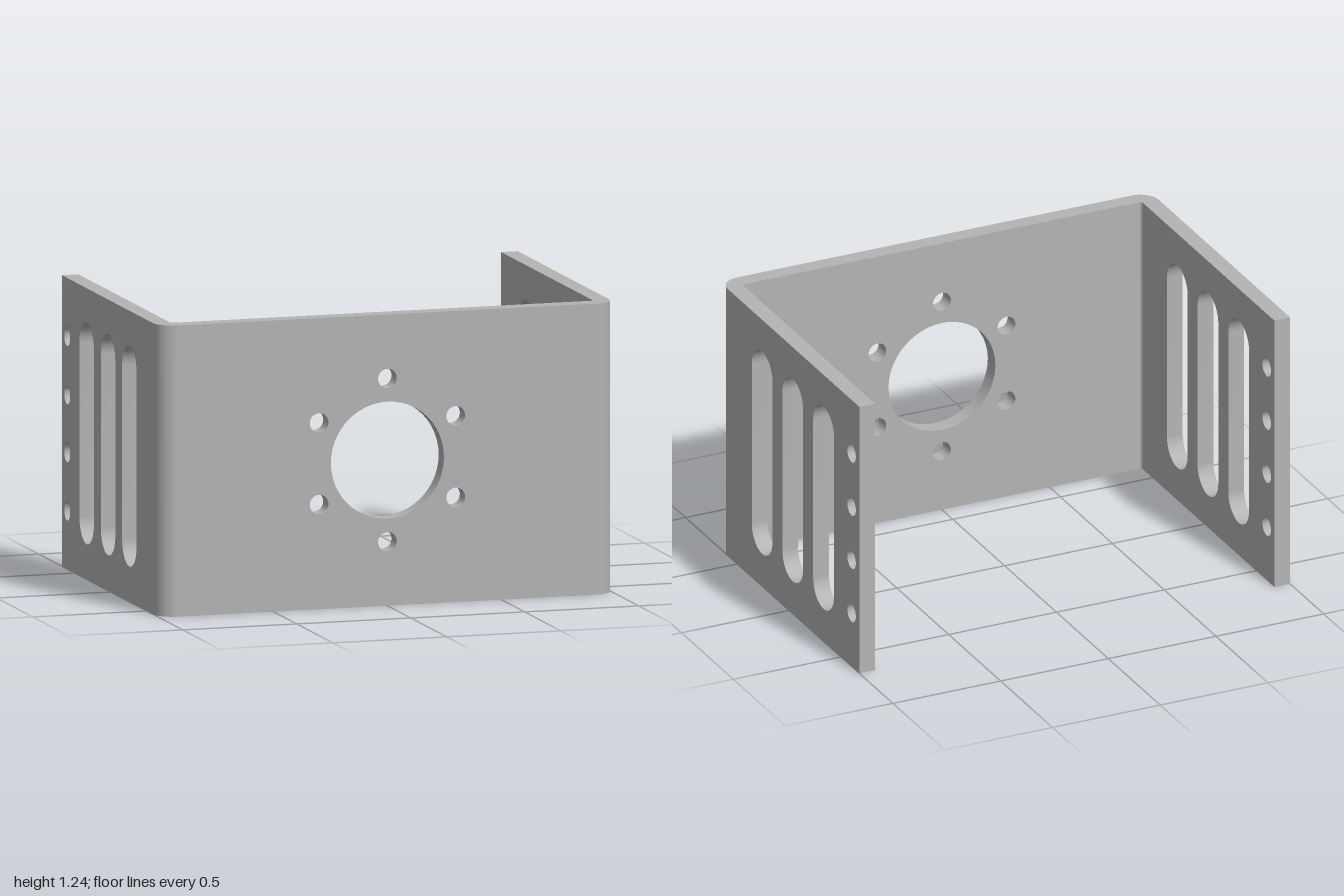
import * as THREE from 'three';
import { toCreasedNormals } from 'three/addons/utils/BufferGeometryUtils.js';

const H = 1.235;         // height
const D = 0.677;         // half depth
const T = 0.073;         // sheet thickness
const R_IN = 0.012;      // bend radii
const R_OUT = R_IN + T;

function rect(x0, x1) {
  return new THREE.Shape([[x0, 0], [x1, 0], [x1, H], [x0, H]].map(p => new THREE.Vector2(...p)));
}

function addHole(shape, x, y, r) {
  const hole = new THREE.Path();
  hole.absarc(x, y, r, 0, Math.PI * 2, true);
  shape.holes.push(hole);
}

function addSlot(shape, x, y0, y1, r) {
  const slot = new THREE.Path();
  slot.absarc(x, y1 - r, r, 0, Math.PI, false);
  slot.absarc(x, y0 + r, r, Math.PI, Math.PI * 2, false);
  slot.closePath();
  shape.holes.push(slot);
}

function extrude(shape, depth) {
  return new THREE.ExtrudeGeometry(shape, { depth, bevelEnabled: false, curveSegments: 24 });
}

export function createModel() {
  const group = new THREE.Group();
  const steel = new THREE.MeshStandardMaterial({ color: 0xb4b4b4 });
  steel.name = 'grey steel';

  const add = (name, geometry) => {
    const mesh = new THREE.Mesh(toCreasedNormals(geometry, 0.6), steel);
    mesh.name = name;
    group.add(mesh);
  };

  // Front plate: central bore with six bolt holes around it
  const front = rect(-1 + R_OUT, 1 - R_OUT);
  addHole(front, 0, H / 2, 0.248);
  for (let i = 0; i < 6; i++) {
    const a = Math.PI / 2 + i * Math.PI / 3;
    addHole(front, 0.346 * Math.cos(a), H / 2 + 0.346 * Math.sin(a), 0.041);
  }
  add('frontPlate', extrude(front, T).translate(0, 0, D - T));

  // Side flanges: three slots and a column of holes (shape x is -z)
  const side = rect(-D + R_OUT, D);
  for (const z of [0.26, -0.035, -0.332]) addSlot(side, -z, 0.15, 1.088, 0.1);
  for (let i = 0; i < 4; i++) addHole(side, 0.602, 0.248 + i * 0.2465, 0.041);
  for (const [name, x] of [['leftFlange', 1 - T], ['rightFlange', -1]]) {
    add(name, extrude(side, T).rotateY(Math.PI / 2).translate(x, 0, 0));
  }

  // Rounded bends joining the flanges to the front plate
  for (const [name, s, a] of [['leftBend', 1, -Math.PI / 2], ['rightBend', -1, Math.PI]]) {
    const cx = s * (1 - R_OUT), cy = -(D - R_OUT), b = a + Math.PI / 2;
    const bend = new THREE.Shape();
    bend.absarc(cx, cy, R_OUT, a, b, false);
    bend.absarc(cx, cy, R_IN, b, a, true);
    bend.closePath();
    add(name, extrude(bend, H).rotateX(-Math.PI / 2));
  }

  return group;
}
